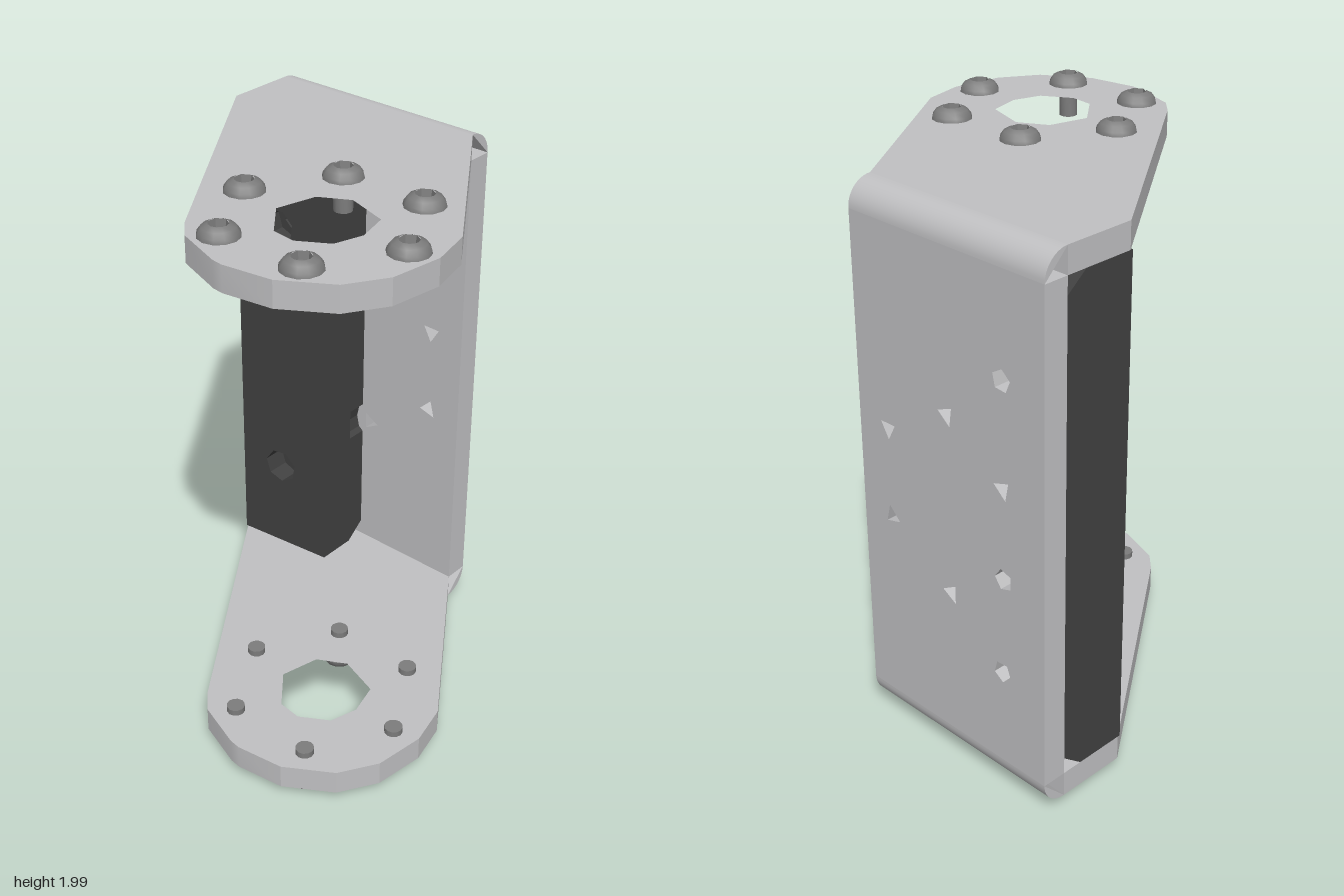
import * as THREE from 'three';
import { toCreasedNormals } from 'three/addons/utils/BufferGeometryUtils.js';

const mat = (name, color) => {
  const m = new THREE.MeshStandardMaterial({ color });
  m.name = name;
  return m;
};
const V = (x, y) => new THREE.Vector2(x, y);
const T = 0.09;                                   // sheet thickness
const LOW = 0.14, HIGH = 1.87, INNER = -0.565;    // inside faces of the bracket
const LEFT = 0.175, RIGHT = -0.65;                // sides of the back sheet

// Regular polygon used as a hole
function polygonHole(x, y, r, sides, turn) {
  const pts = [];
  for (let i = 0; i < sides; i++) {
    const a = turn - (i / sides) * Math.PI * 2;
    pts.push(V(x + r * Math.cos(a), y + r * Math.sin(a)));
  }
  return new THREE.Path(pts);
}

function extrude(points, holes, depth) {
  const shape = new THREE.Shape(points);
  shape.holes.push(...holes);
  return new THREE.ExtrudeGeometry(shape, { depth, bevelEnabled: false, curveSegments: 8 });
}

export function createModel() {
  const group = new THREE.Group();
  const metal = mat('brushed metal', 0xc0c0c2);
  const dark = mat('dark block', 0x404040);
  const steel = mat('screw steel', 0x7c7c7c);

  function add(name, geometry, material, x = 0, y = 0, z = 0) {
    const mesh = new THREE.Mesh(geometry, material);
    mesh.name = name;
    mesh.position.set(x, y, z);
    group.add(mesh);
    return mesh;
  }

  // Arms: horizontal plates with a rounded nose and a large faceted opening
  const outline = [[RIGHT, INNER], [LEFT, INNER], [0.61, 0.07], [0.645, 0.22], [0.62, 0.4],
    [0.54, 0.53], [0.38, 0.63], [0.21, 0.655], [0.17, 0.65], [0, 0.59], [-0.06, 0.53], [RIGHT, -0.31]];
  const opening = [[0.21, 0.085], [0.36, 0.135], [0.39, 0.25], [0.36, 0.35],
    [0.26, 0.41], [0.175, 0.4], [0.075, 0.28], [0.11, 0.14]];
  const flip = ([x, z]) => V(x, -z);
  const arm = extrude(outline.map(flip), [new THREE.Path(opening.map(flip))], T);
  arm.rotateX(-Math.PI / 2);
  const armGeo = toCreasedNormals(arm, 0.3);
  add('lowerArm', armGeo, metal, 0, LOW - T, 0);
  add('upperArm', armGeo, metal, 0, HIGH, 0);

  // Back sheet with small screw holes
  const sheetHoles = [
    [-0.475, 1.52, 5, 0.4], [-0.465, 0.49, 5, 0.9], [-0.475, 1.16, 3, 0.2], [-0.475, 0.84, 5, 0],
    [-0.235, 1.32, 3, 0.15], [-0.235, 0.68, 3, 0], [0.04, 1.17, 3, 0.5], [0.04, 0.85, 3, 1.3],
  ].map(([x, y, sides, turn]) => polygonHole(x, y, 0.038, sides, turn));
  const back = extrude([V(RIGHT, LOW), V(LEFT, LOW), V(LEFT, HIGH), V(RIGHT, HIGH)], sheetHoles, T);
  add('backSheet', back, metal, 0, 0, INNER - T);

  // Rounded bends joining the back sheet to the arms
  for (const up of [true, false]) {
    const s = new THREE.Shape();
    s.moveTo(0, 0);
    s.absarc(0, 0, T, up ? 0 : -Math.PI / 2, up ? Math.PI / 2 : 0, false);
    s.closePath();
    const g = new THREE.ExtrudeGeometry(s, { depth: LEFT - RIGHT, bevelEnabled: false, curveSegments: 6 });
    g.rotateY(Math.PI / 2);
    add(up ? 'upperBend' : 'lowerBend', toCreasedNormals(g, 0.6), metal, RIGHT, up ? HIGH : LOW, INNER);
  }

  // Block: layers with counterbores in front, clearance notches and chamfers behind
  const bx = -0.27;
  const holeCentres = [[-0.475, 1.515], [-0.475, 0.495]];
  const plain = [V(RIGHT, LOW), V(bx, LOW), V(bx, HIGH), V(RIGHT, HIGH)];
  const notch = (y) => [V(bx, y - 0.06), V(bx - 0.018, y - 0.045), V(bx - 0.028, y),
    V(bx - 0.018, y + 0.045), V(bx, y + 0.06)];
  const notched = [V(RIGHT, LOW), V(bx, LOW), ...notch(0.685), ...notch(1.32), V(bx, HIGH), V(RIGHT, HIGH)];
  const layers = [
    ['blockRear', notched, 0.036, 6, INNER, -0.49],
    ['blockCore', plain, 0.036, 6, -0.49, -0.4],
    ['blockFront', plain, 0.068, 7, -0.4, -0.3],
  ];
  for (const [name, pts, r, sides, z0, z1] of layers) {
    const holes = holeCentres.map(([x, y]) => polygonHole(x, y, r, sides, 0.3));
    const g = extrude(pts, holes, z1 - z0);
    const p = g.attributes.position;
    for (let i = 0; i < p.count; i++) {
      const x = p.getX(i), y = p.getY(i), z = p.getZ(i);
      // Chamfer the rear top and bottom edges to clear the bends
      if (name === 'blockRear' && z < 0.001) {
        if (y > HIGH - 0.001) p.setY(i, HIGH - 0.06);
        if (y < LOW + 0.001) p.setY(i, LOW + 0.06);
      }
      // Front face leans slightly back towards the inner side
      if (name === 'blockFront' && z > 0.05) p.setZ(i, z - 0.04 * (x - RIGHT) / (bx - RIGHT));
    }
    g.computeVertexNormals();
    add(name, g, dark, 0, 0, z0);
  }

  // Button-head screws with hex sockets, six on each arm
  const profile = (pts, n) => toCreasedNormals(
    new THREE.LatheGeometry(pts.map(([r, y]) => V(r, y)), n), 0.75);
  const headGeo = profile([[0, -0.112], [0.032, -0.112], [0.032, 0], [0.068, 0],
    [0.065, 0.013], [0.053, 0.03], [0.032, 0.04]], 12);
  const socketGeo = profile([[0.033, 0.04], [0.029, 0.014], [0, 0.014]], 6);
  const spots = [];
  for (let i = 0; i < 6; i++) {
    const a = (i * Math.PI) / 3;
    spots.push([0.235 + 0.32 * Math.cos(a), 0.248 + 0.32 * Math.sin(a)]);
  }
  for (const up of [true, false]) {
    for (const [x, z] of spots) {
      for (const [name, geo] of [['screw', headGeo], ['screwSocket', socketGeo]]) {
        const m = add(name, geo, steel, x, up ? HIGH + T : LOW - T, z);
        if (!up) m.rotation.x = Math.PI;
      }
    }
  }
  return group;
}
